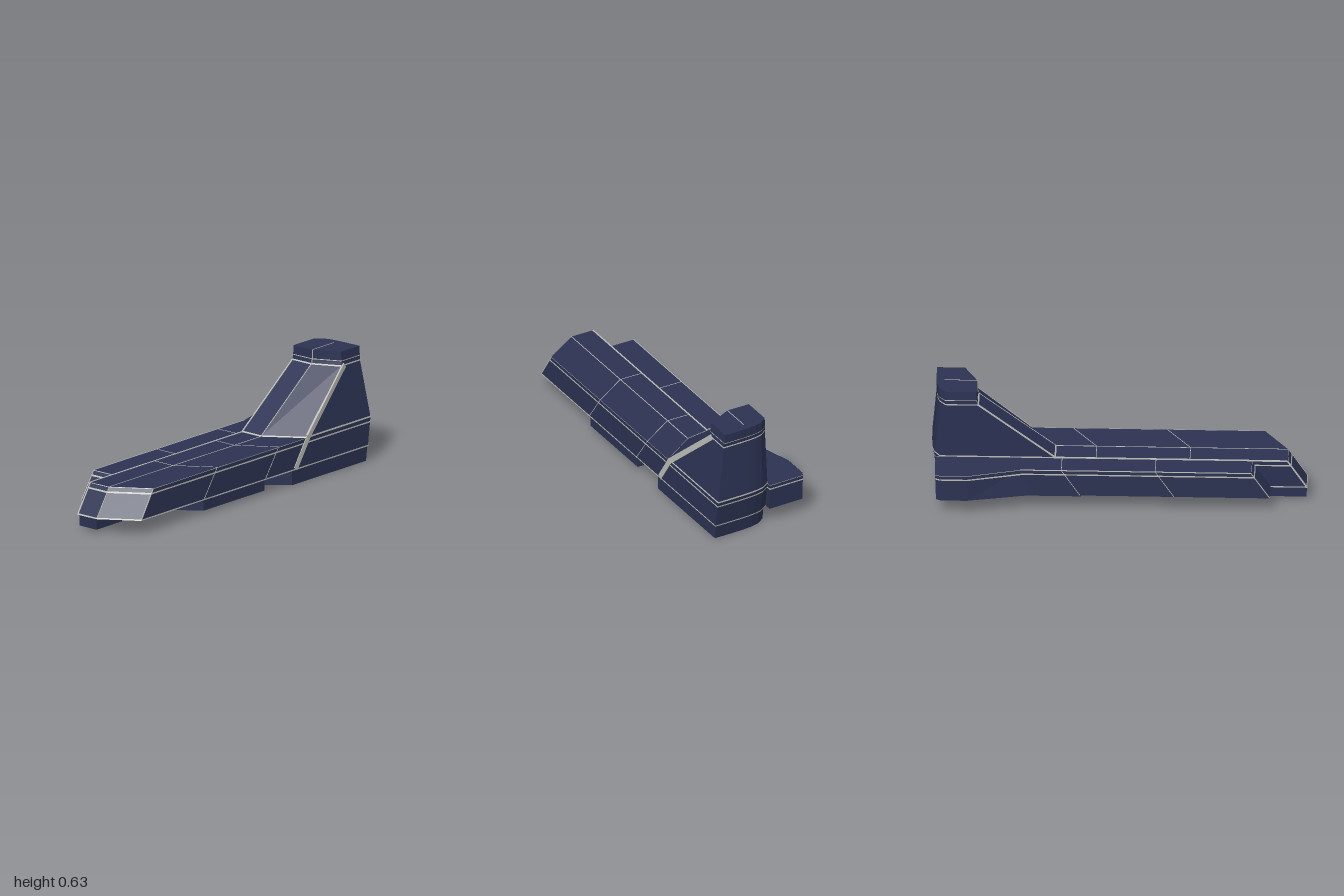
import * as THREE from 'three';

const glass = new THREE.MeshStandardMaterial({ color: 0x2b3252, flatShading: true });
const trim = new THREE.MeshStandardMaterial({ color: 0xbcbcb6, flatShading: true, side: THREE.DoubleSide });

// Plan outline with a chamfered front corner and a curved rear wall
function plan(y, zFront, zSide, xSide, zBack, xLeft = -0.06) {
  const pts = [[xLeft, zFront], [0.073, zFront], [xSide, zSide], [xSide, zBack]];
  for (let i = 1; i <= 7; i++) {
    const t = i / 7;
    pts.push([xSide + (xLeft - xSide) * t, zBack + 0.012 * t * t + 0.04 * t ** 8]);
  }
  return { y, pts };
}

// Interpolated and slightly enlarged outline, used for trim bands
function between(a, b, y, grow) {
  const t = (y - a.y) / (b.y - a.y);
  const p = a.pts.map((q, i) => q.map((v, k) => v + (b.pts[i][k] - v) * t));
  const n = p.length;
  const pts = p.map((q, i) => {
    const u = p[(i + n - 1) % n], v = p[(i + 1) % n];
    const unit = (s, e) => {
      const l = Math.hypot(e[0] - s[0], e[1] - s[1]);
      return [-(e[1] - s[1]) / l, (e[0] - s[0]) / l];
    };
    const n1 = unit(u, q), n2 = unit(q, v);
    const d = Math.max(0.4, 1 + n1[0] * n2[0] + n1[1] * n2[1]);
    return [q[0] + grow * (n1[0] + n2[0]) / d, q[1] + grow * (n1[1] + n2[1]) / d];
  });
  return { y, pts };
}

// Skin through stacked outlines, optionally closed above and below
function loft(rings, closed = true) {
  const pos = [];
  const put = (r, i) => pos.push(r.pts[i][0], r.y, r.pts[i][1]);
  for (let k = 0; k + 1 < rings.length; k++) {
    const a = rings[k], b = rings[k + 1], n = a.pts.length;
    for (let i = 0; i < n; i++) {
      const j = (i + 1) % n;
      put(a, i); put(a, j); put(b, j);
      put(a, i); put(b, j); put(b, i);
    }
  }
  if (closed) {
    const cap = (r, up) => {
      const flat = r.pts.map(([x, z]) => new THREE.Vector2(x, -z));
      for (const [a, b, c] of THREE.ShapeUtils.triangulateShape(flat, [])) {
        for (const i of up ? [a, b, c] : [a, c, b]) put(r, i);
      }
    };
    cap(rings[0], false);
    cap(rings[rings.length - 1], true);
  }
  const g = new THREE.BufferGeometry();
  g.setAttribute('position', new THREE.Float32BufferAttribute(pos, 3));
  g.computeVertexNormals();
  return g;
}

export function createModel() {
  const model = new THREE.Group();
  const add = (name, geo, mat = glass) => {
    const m = new THREE.Mesh(geo, mat);
    m.name = name;
    model.add(m);
    return m;
  };
  const band = (name, a, b, y0, y1, grow = 0.002) =>
    add(name, loft([between(a, b, y0, grow), between(a, b, y1, grow)], false), trim);
  // Thin bars along a path; w across in x, h across the other way
  const strip = (name, path, w = 0.004, h = w) => {
    const group = new THREE.Group();
    group.name = name;
    const v = path.map(p => new THREE.Vector3(...p));
    for (let i = 0; i + 1 < v.length; i++) {
      const m = new THREE.Mesh(new THREE.BoxGeometry(w, h, v[i].distanceTo(v[i + 1])), trim);
      m.position.lerpVectors(v[i], v[i + 1], 0.5);
      m.lookAt(v[i + 1]);
      group.add(m);
    }
    model.add(group);
  };

  // Recessed ground floors
  const floor = [[-0.05, 1], [0.07, 1], [0.07, 0.5], [0.27, 0.36], [0.27, -0.14], [-0.05, -0.14]];
  add('frontGroundFloor', loft([{ y: 0.02, pts: floor }, { y: 0.086, pts: floor }]));
  add('towerGroundFloor', loft([
    plan(0, -0.2, -0.36, 0.272, -0.963, -0.05), plan(0.086, -0.2, -0.36, 0.272, -0.976, -0.05)]));

  // Long main wing with sloping nose
  const slabLow = plan(0.085, 1, 0.87, 0.275, -0.976);
  const slabHigh = plan(0.237, 0.9, 0.77, 0.272, -1);
  add('mainWing', loft([slabLow, slabHigh]));
  band('mainWingLowerBand', slabLow, slabHigh, 0.08, 0.087);
  band('mainWingUpperBand', slabLow, slabHigh, 0.207, 0.215);
  band('mainWingRoofEdge', slabLow, slabHigh, 0.234, 0.237);

  // Side wing flaring outward at the rear
  const sideLow = { y: 0.087, pts: [[-0.2, 0.81], [-0.06, 0.81], [-0.06, -0.97], [-0.265, -0.965],
    [-0.279, -0.94], [-0.279, -0.8], [-0.2, -0.44]] };
  const sideHigh = { y: 0.235, pts: [[-0.198, 0.71], [-0.06, 0.71], [-0.06, -0.975], [-0.265, -0.97],
    [-0.277, -0.945], [-0.277, -0.8], [-0.198, -0.52]] };
  add('sideWing', loft([sideLow, sideHigh]));
  band('sideWingBand', sideLow, sideHigh, 0.206, 0.214, 0.001);
  band('sideWingRoofEdge', sideLow, sideHigh, 0.232, 0.235, 0.001);

  // Tapered tower and its crown
  const towerLow = plan(0.237, -0.335, -0.47, 0.272, -1);
  const towerHigh = plan(0.55, -0.75, -0.82, 0.222, -0.972);
  const crownMid = plan(0.575, -0.755, -0.825, 0.219, -0.975);
  const crownTop = plan(0.625, -0.755, -0.825, 0.215, -0.975, -0.057);
  add('tower', loft([towerLow, towerHigh]));
  add('crown', loft([towerHigh, crownMid, crownTop]));
  band('towerFootBand', towerLow, towerHigh, 0.237, 0.243);
  band('towerTopBand', towerLow, towerHigh, 0.546, 0.553);
  band('crownBand', towerHigh, crownMid, 0.573, 0.577);

  // Ridge lines running over nose, roof and tower front
  const x = 0.075;
  strip('ridgeLine', [[x, 0.085, 1], [x, 0.236, 0.9], [x, 0.237, -0.335], [x, 0.55, -0.75],
    [x, 0.575, -0.755], [x, 0.624, -0.755], [x, 0.624, -0.93]]);
  strip('innerEdgeLine', [[-0.057, 0.085, 1], [-0.057, 0.236, 0.9], [-0.057, 0.237, -0.335],
    [-0.057, 0.55, -0.75]], 0.007);
  strip('sideWingEdgeLine', [[-0.198, 0.087, 0.81], [-0.197, 0.234, 0.71], [-0.197, 0.234, -0.52]]);

  // Wide diagonal rib on the tower flank
  strip('diagonalRib', [[0.272, 0.085, -0.385], [0.271, 0.238, -0.49], [0.221, 0.55, -0.845]], 0.012, 0.03);

  // Panel seams following the chamfer and the nose slope
  for (const z of [0.38, -0.12]) {
    strip('roofSeam', [[-0.06, 0.237, z], [x, 0.237, z], [0.272, 0.237, z - 0.13],
      [0.275, 0.085, z - 0.02]], 0.003);
  }
  strip('noseSeam', [[0.272, 0.236, 0.77], [0.275, 0.085, 0.87]], 0.004);
  for (const z of [0.2, -0.3]) {
    strip('sideWingSeam', [[-0.06, 0.235, z], [-0.198, 0.235, z], [-0.2, 0.087, z + 0.1]], 0.003);
  }
  return model;
}
